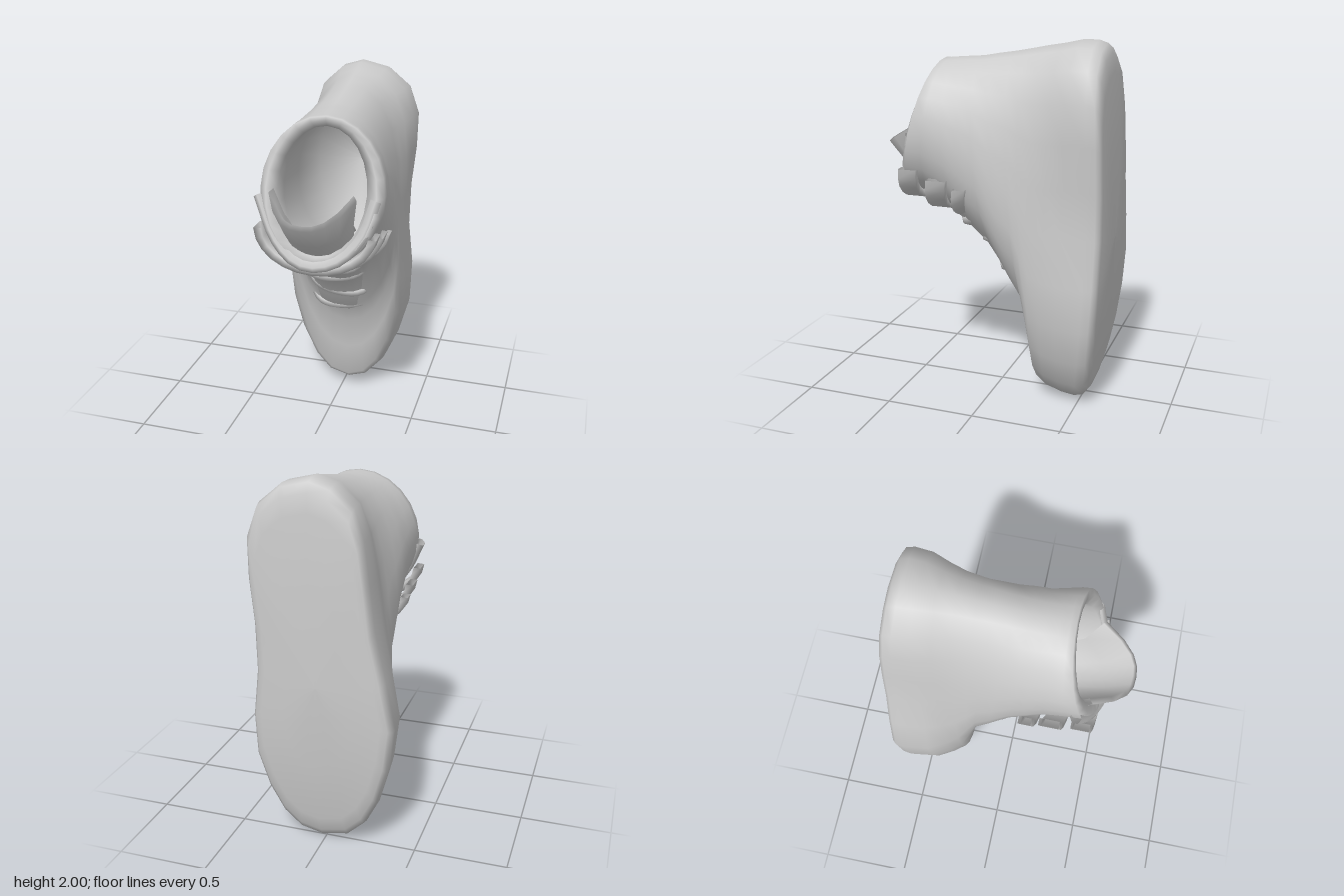
import * as THREE from 'three';

const mat = new THREE.MeshStandardMaterial({ color: 0xcccccc, side: THREE.DoubleSide });

// Smooth surface through rows of points; closed joins each row into a ring
function loft(name, rows, closed) {
  const n = rows[0].length, index = [];
  for (let r = 0; r < rows.length - 1; r++) {
    for (let i = 0; i < (closed ? n : n - 1); i++) {
      const j = (i + 1) % n;
      const a = r * n + i, b = r * n + j, c = a + n, d = b + n;
      index.push(a, b, d, a, d, c);
    }
  }
  const g = new THREE.BufferGeometry();
  g.setAttribute('position', new THREE.Float32BufferAttribute(rows.flat(2), 3));
  g.setIndex(index);
  g.computeVertexNormals();
  const m = new THREE.Mesh(g, mat);
  m.name = name;
  return m;
}

function tube(name, pts, radius) {
  const curve = new THREE.CatmullRomCurve3(pts.map(p => new THREE.Vector3(...p)));
  const m = new THREE.Mesh(new THREE.TubeGeometry(curve, 16, radius, 6), mat);
  m.name = name;
  return m;
}

// Flat strap slung under the collar, its ends leaning back up the sides
function strap({ low, high, z, width, lean }) {
  const rows = [];
  for (let i = 0; i <= 12; i++) {
    const a = (i / 6 - 1) * 1.5, back = lean * (1 - Math.cos(a));
    const at = (t, dz) => [
      .045 + (.325 + t) * Math.sin(a), high - (high - low + t) * Math.cos(a), z - back + dz];
    rows.push([at(0, 0), at(0, -width), at(-.04, -width), at(-.04, 0)]);
  }
  return loft('ankleStrap', rows, true);
}

// Sole outline from toe to heel, one x per 15 degrees of a cosine spacing in y
const N = 12;
const LEFT = [.02, .14, .23, .30, .355, .36, .33, .335, .36, .365, .31, .19, .04];
const RIGHT = [.02, -.13, -.23, -.31, -.37, -.40, -.35, -.29, -.26, -.23, -.18, -.07, .04];

// Ring of points handed the height, the sole x and the ellipse x at each step
function ring(fn) {
  const pts = [];
  for (let i = 0; i < 2 * N; i++) {
    const j = i <= N ? i : 2 * N - i, side = i <= N ? 1 : -1;
    const v = (1 - Math.cos(Math.PI * j / N)) / 2;
    pts.push(fn(v, (side > 0 ? LEFT : RIGHT)[j], side * Math.sin(Math.PI * j / N)));
  }
  return pts;
}

const soleZ = y => y < 1 ? -.65 + .1 * Math.pow(1 - y, 2.5) : -.65 + .03 * Math.pow(y - 1, 3);

const soleRow = (s, lift) => ring((v, x) => {
  const y = .95 + (2 * v - .95) * s;
  return [x * s, y, soleZ(y) + lift];
});

const bodyRow = ([zF, zH, yF, yH, b, rx = .31, cx = .055]) => ring((v, x, e) =>
  [x * (1 - b) + (cx + rx * e) * b, yF + (yH - yF) * v, zF + (zH - zF) * v]);

export function createModel() {
  const shoe = new THREE.Group();
  shoe.name = 'highTopShoe';

  // Sole and upper in one skin, rolling over the collar into the lining
  shoe.add(loft('soleAndUpper', [
    soleRow(.001, 0), soleRow(.5, 0), soleRow(.85, .007), soleRow(.94, .015),
    soleRow(.985, .035), soleRow(1, .08),
    ...[
      // front z, heel z, front y, heel y, blend, half width, centre x
      [-.40, -.46, .01, 2.0, .1],
      [-.31, -.37, .04, 1.98, .4],
      [-.25, -.28, .09, 1.965, .62, .3],
      [-.225, -.18, .3, 1.945, .75, .3],
      [-.195, -.1, .5, 1.93, .83, .3],
      [-.12, 0, .63, 1.915, .9, .305],
      [0, .08, .85, 1.9, .95],
      [.1, .15, .94, 1.895, .98],
      [.2, .22, 1.04, 1.89, 1, .315, .06],
      [.36, .27, 1.13, 1.885, 1, .325, .062],
      [.48, .3, 1.14, 1.885, 1, .325, .065],
      [.51, .31, 1.16, 1.865, 1, .29, .065],
      [.49, .28, 1.2, 1.83, 1, .235, .065],
      [.35, .15, 1.19, 1.82, 1, .24, .06],
      [0, -.1, 1.1, 1.83, 1, .26, .06],
      [-.42, -.5, 1.0, 1.86, 1, .26, .06],
      [-.5, -.53, 1.42, 1.43, 1, .002],
    ].map(bodyRow),
  ], true));

  // Tongue: a curved sheet under the laces, flaring forward to a blunt tip
  const tongueRows = [
    // y, z, half width, backward curl, upward curl
    [.59, -.15, .16, .06, .03],
    [.63, -.11, .17, .07, .03],
    [.72, -.05, .18, .09, .03],
    [.88, .06, .19, .1, .03],
    [1.0, .2, .19, .1, .04],
    [1.14, .42, .19, .1, .06],
    [1.27, .53, .2, .14, .08],
    [1.40, .65, .23, .2, .11],
    [1.42, .63, .21, .2, .11],
    [1.28, .49, .18, .14, .08],
    [1.2, .32, .17, .1, .06],
  ].map(([y, z, w, back, up]) => Array.from({ length: 9 }, (_, i) => {
    const t = i / 4 - 1, curl = Math.abs(t) ** 2.6;
    return [.035 + w * t, y + up * curl, z - back * curl];
  }));
  shoe.add(loft('tongue', tongueRows, false));

  // Laces across the instep
  const laces = new THREE.Group();
  laces.name = 'laces';
  [[.65, -.14], [.78, -.055], [.91, .05], [1.02, .17]].forEach(([y, z], i) => {
    const tilt = i % 2 ? .015 : -.01;
    laces.add(tube('lace', [
      [-.16, y + .05 + tilt, z - .09], [-.09, y + tilt, z - .02], [.03, y - .01, z + .01],
      [.15, y - tilt, z - .02], [.21, y + .04 - tilt, z - .09],
    ], .033));
  });
  shoe.add(laces);

  // Wide straps under the ankle
  [
    { low: 1.1, high: 1.33, z: .5, width: .1, lean: .04 },
    { low: 1.05, high: 1.28, z: .35, width: .11, lean: .05 },
    { low: 1.02, high: 1.24, z: .2, width: .07, lean: .05 },
  ].forEach(s => shoe.add(strap(s)));

  // Folded lapel around the front of the collar
  shoe.add(tube('collarLapel', [
    [-.27, 1.47, .38], [-.16, 1.26, .45], [-.05, 1.17, .49], [.05, 1.15, .5],
    [.18, 1.19, .48], [.29, 1.31, .44], [.35, 1.5, .39],
  ], .032));
  return shoe;
}
